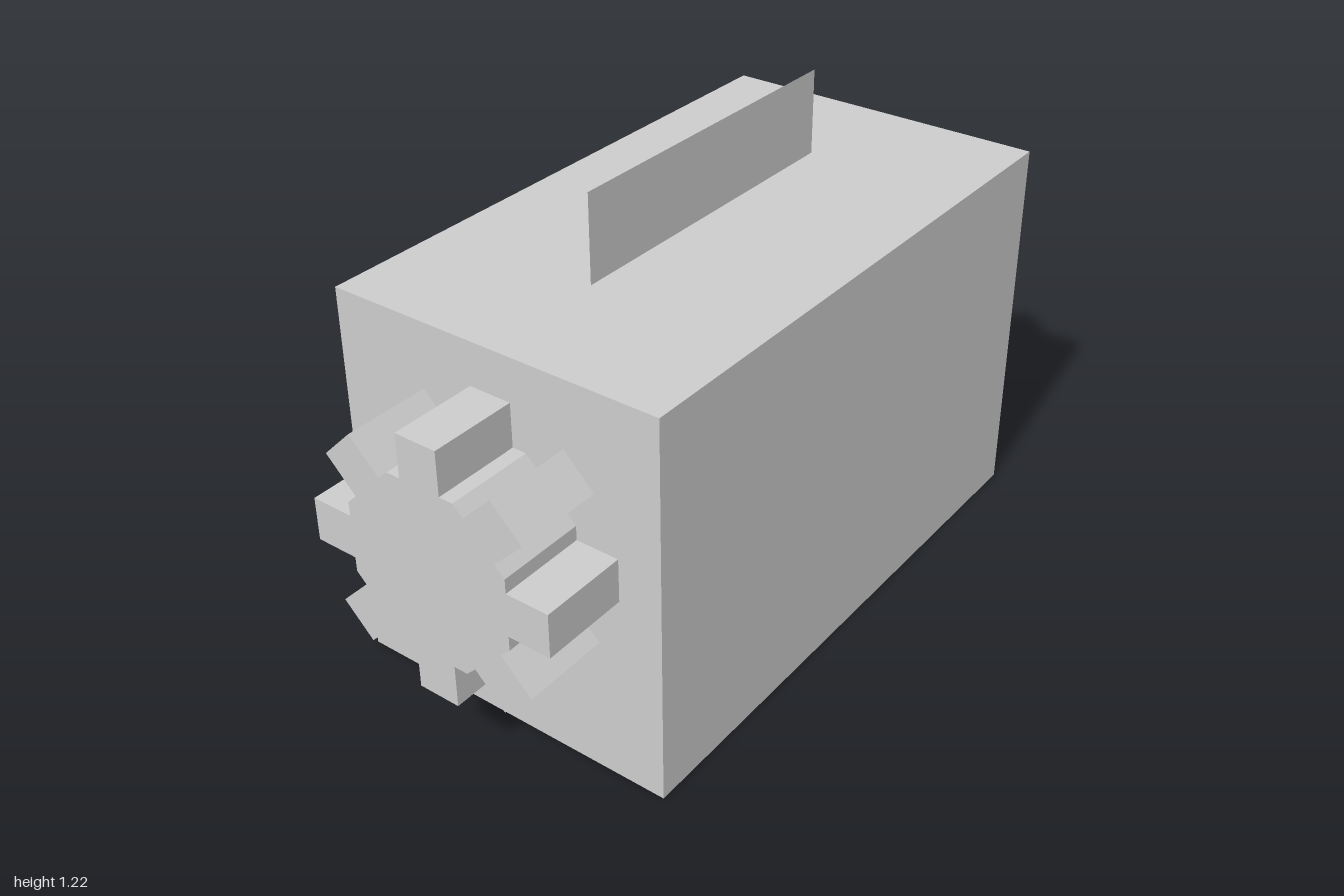
import * as THREE from 'three';

export function createModel() {
  const model = new THREE.Group();
  const grey = new THREE.MeshStandardMaterial({ color: 0xcccccc });
  grey.name = 'plain grey';
  grey.flatShading = true;
  const greySheet = grey.clone();
  greySheet.name = 'plain grey sheet';
  greySheet.side = THREE.DoubleSide;

  const add = (name, geometry, x, y, z, material = grey) => {
    const mesh = new THREE.Mesh(geometry, material);
    mesh.name = name;
    mesh.position.set(x, y, z);
    model.add(mesh);
    return mesh;
  };

  const midZ = 0.055;

  // Main housing and the thin sheet standing on top
  add('body', new THREE.BoxGeometry(1.556, 1, 0.889), 0, 0.5, midZ);
  add('topSheet', new THREE.PlaneGeometry(0.884, 0.224), 0, 1.112, midZ, greySheet);

  // Back panel and the two blocks above it
  add('backPanel', new THREE.BoxGeometry(1.34, 0.437, 0.034), 0, 0.342, -0.406);
  for (const side of [-1, 1]) {
    add(side > 0 ? 'leftBackBlock' : 'rightBackBlock',
      new THREE.BoxGeometry(0.22, 0.333, 0.111), side * 0.445, 0.723, -0.4445);
  }

  // Eight-toothed gear: octagonal hub with a square tooth on every side
  const hub = 0.222, tip = 0.333, half = 0.0555;
  const corner = hub * Math.tan(Math.PI / 8);
  const outline = [];
  for (let i = 0; i < 8; i++) {
    for (const [r, t] of [[hub, -corner], [hub, -half], [tip, -half], [tip, half], [hub, half]]) {
      outline.push(new THREE.Vector2(r, t).rotateAround(new THREE.Vector2(), i * Math.PI / 4));
    }
  }
  const gear = new THREE.ExtrudeGeometry(new THREE.Shape(outline), { depth: 0.222, bevelEnabled: false });

  // One gear on each end of the housing
  for (const side of [-1, 1]) {
    const mesh = add(side > 0 ? 'leftGear' : 'rightGear', gear, side * 0.778, 0.556, midZ);
    mesh.rotation.y = side * Math.PI / 2;
  }
  return model;
}
